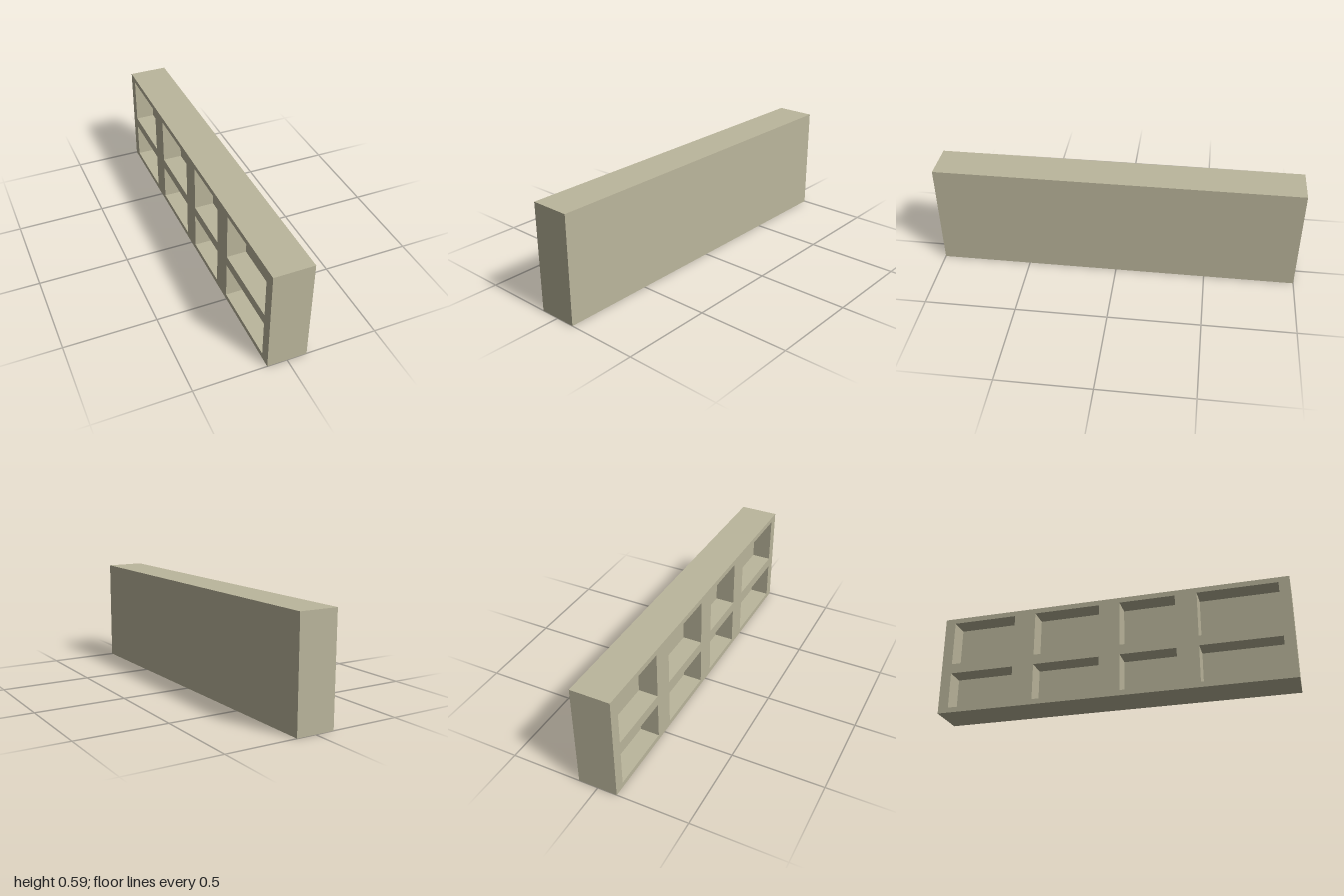
import * as THREE from 'three';

const W = 0.216, H = 0.59, L = 2;   // thickness (x), height (y), length (z)
const DEPTH = 0.108;                // how far the compartments are sunk
const COLUMNS = [[-0.94, -0.565], [-0.44, -0.06], [0.06, 0.375], [0.497, 0.94]]; // z ranges
const ROWS = [[0.03, 0.24], [0.298, 0.56]];                                     // y ranges

// Box without its -x side; inward turns the faces to look into the box
function openBox(w, h, d, inward) {
  const g = new THREE.BoxGeometry(w, h, d);
  const index = Array.from(g.index.array);
  index.splice(6, 6);
  if (inward) {
    index.reverse();
    const n = g.attributes.normal;
    for (let i = 0; i < n.count; i++) n.setXYZ(i, -n.getX(i), -n.getY(i), -n.getZ(i));
  }
  g.clearGroups();
  g.setIndex(index);
  return g;
}

// Closed rectangle in the (z, y) plane
function rect(path, z0, z1, y0, y1) {
  path.moveTo(z0, y0).lineTo(z1, y0).lineTo(z1, y1).lineTo(z0, y1).closePath();
  return path;
}

export function createModel() {
  const group = new THREE.Group();
  group.name = 'compartmentPanel';
  const material = new THREE.MeshStandardMaterial({ color: 0xbbb69c });

  const add = (name, geometry, x, y, z) => {
    const mesh = new THREE.Mesh(geometry, material);
    mesh.name = name;
    mesh.position.set(x, y, z);
    group.add(mesh);
  };

  // Outer block, open on the compartment side
  add('outerBlock', openBox(W, H, L, false), 0, H / 2, 0);

  // Face grid with rectangular openings, and the sunken compartments behind them
  const face = rect(new THREE.Shape(), -L / 2, L / 2, 0, H);
  COLUMNS.forEach(([z0, z1], c) => {
    ROWS.forEach(([y0, y1], r) => {
      face.holes.push(rect(new THREE.Path(), z0, z1, y0, y1));
      add(`compartment_${c + 1}_${r + 1}`, openBox(DEPTH, y1 - y0, z1 - z0, true),
        -W / 2 + DEPTH / 2, (y0 + y1) / 2, (z0 + z1) / 2);
    });
  });
  add('faceGrid', new THREE.ShapeGeometry(face).rotateY(-Math.PI / 2), -W / 2, 0, 0);

  return group;
}
